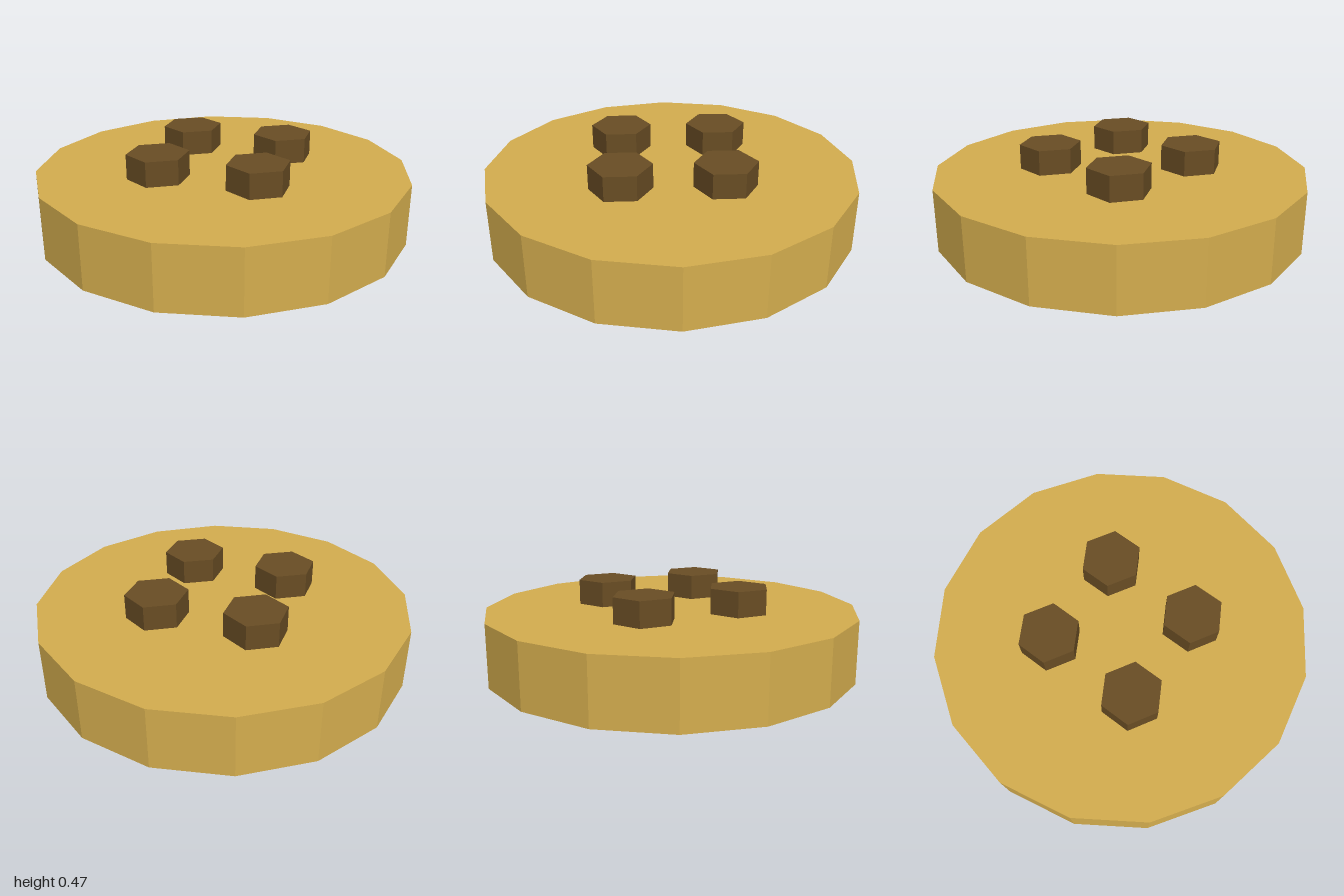
import * as THREE from 'three';

export function createModel() {
  const model = new THREE.Group();
  model.name = 'buttonDisc';

  const gold = new THREE.MeshStandardMaterial({ color: 0xd4ad4e });
  gold.name = 'gold';
  const brown = new THREE.MeshStandardMaterial({ color: 0x694d24 });
  brown.name = 'dark brown';

  // Faceted prism standing between two heights
  function prism(name, radius, bottom, top, sides, material) {
    const geometry = new THREE.CylinderGeometry(radius, radius, top - bottom, sides).toNonIndexed();
    geometry.computeVertexNormals();
    const mesh = new THREE.Mesh(geometry, material);
    mesh.name = name;
    mesh.position.y = (bottom + top) / 2;
    model.add(mesh);
    return mesh;
  }

  // Sixteen-sided disc
  prism('disc', 1, 0, 0.333, 16, gold);

  // Four hexagonal pegs set into the disc
  for (const x of [-1, 1]) {
    for (const z of [-1, 1]) {
      const name = (z > 0 ? 'front' : 'back') + (x > 0 ? 'Left' : 'Right') + 'Peg';
      const peg = prism(name, 0.165, 0.01, 0.467, 6, brown);
      peg.position.x = x * 0.267;
      peg.position.z = z * 0.267;
    }
  }

  return model;
}
